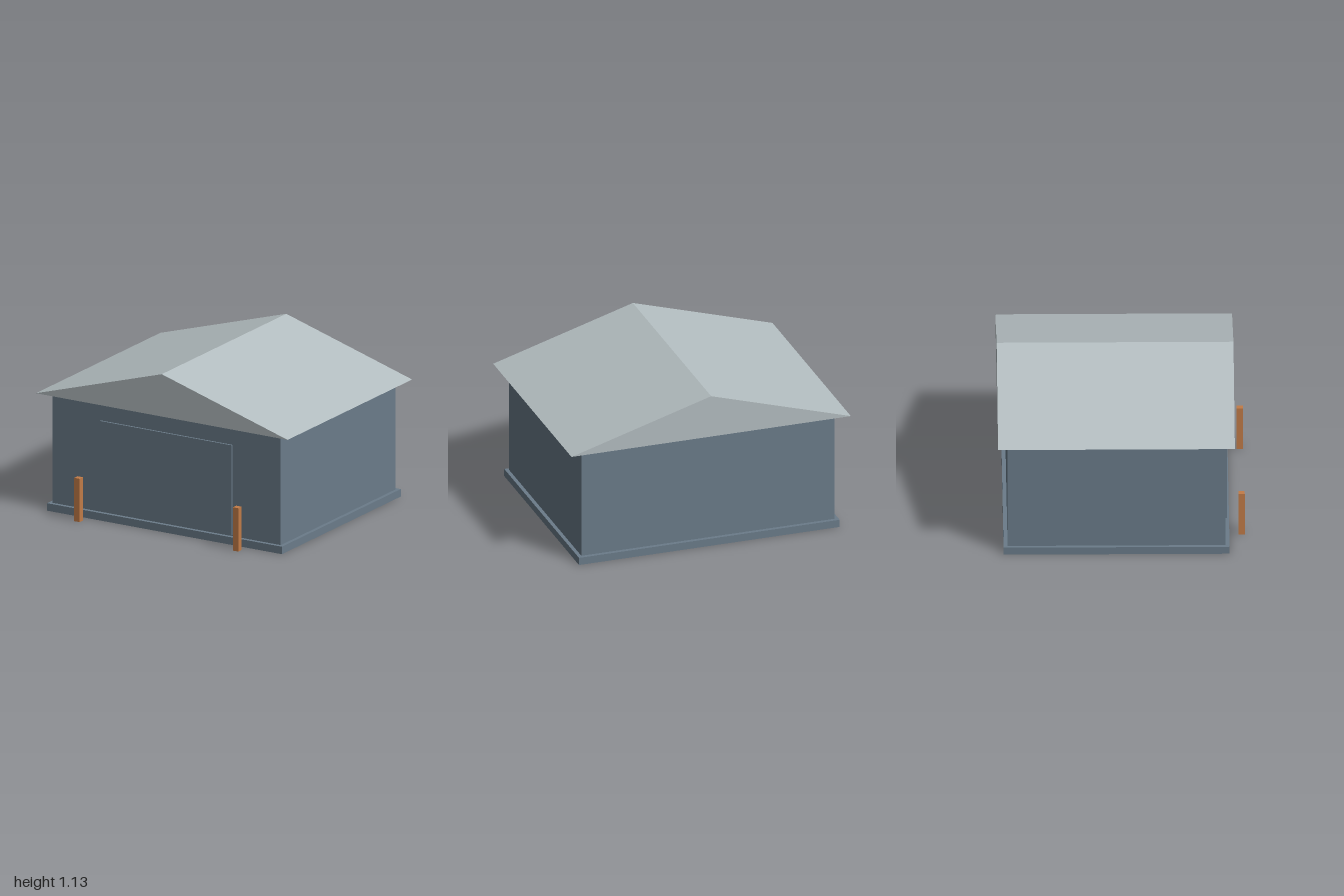
import * as THREE from 'three';

export function createModel() {
  const model = new THREE.Group();
  model.name = 'garage';

  const material = (name, color) => {
    const m = new THREE.MeshStandardMaterial({ color });
    m.name = name;
    return m;
  };
  const wallPaint = material('blueGreyWall', 0x6b7c8a);
  const roofPaint = material('paleGreyRoof', 0xb4bec1);
  const postWood = material('orangeWood', 0xc27c48);

  const add = (name, geometry, mat) => {
    const mesh = new THREE.Mesh(geometry, mat);
    mesh.name = name;
    model.add(mesh);
    return mesh;
  };
  // Box given by its lower and upper corners
  const box = (name, mat, [x0, y0, z0], [x1, y1, z1]) => {
    const mesh = add(name, new THREE.BoxGeometry(x1 - x0, y1 - y0, z1 - z0), mat);
    mesh.position.set((x0 + x1) / 2, (y0 + y1) / 2, (z0 + z1) / 2);
  };

  // Plinth, walls and the slightly raised door
  box('plinth', wallPaint, [-0.933, 0, -0.797], [0.933, 0.053, 0.73]);
  box('walls', wallPaint, [-0.907, 0.053, -0.77], [0.907, 0.83, 0.703]);
  box('door', wallPaint, [-0.523, 0.06, 0.69], [0.523, 0.7, 0.717]);

  // Gabled roof with its ridge running front to back
  const gable = new THREE.Shape([
    new THREE.Vector2(-1, 0),
    new THREE.Vector2(1, 0),
    new THREE.Vector2(0, 0.3),
  ]);
  const roof = add('roof', new THREE.ExtrudeGeometry(gable, { depth: 1.6, bevelEnabled: false }), roofPaint);
  roof.position.set(0, 0.83, -0.835);

  // Posts on either side of the driveway
  for (const [name, side] of [['leftPost', 1], ['rightPost', -1]]) {
    const x = side * 0.63;
    box(name, postWood, [x - 0.022, 0, 0.792], [x + 0.022, 0.307, 0.835]);
  }

  return model;
}
